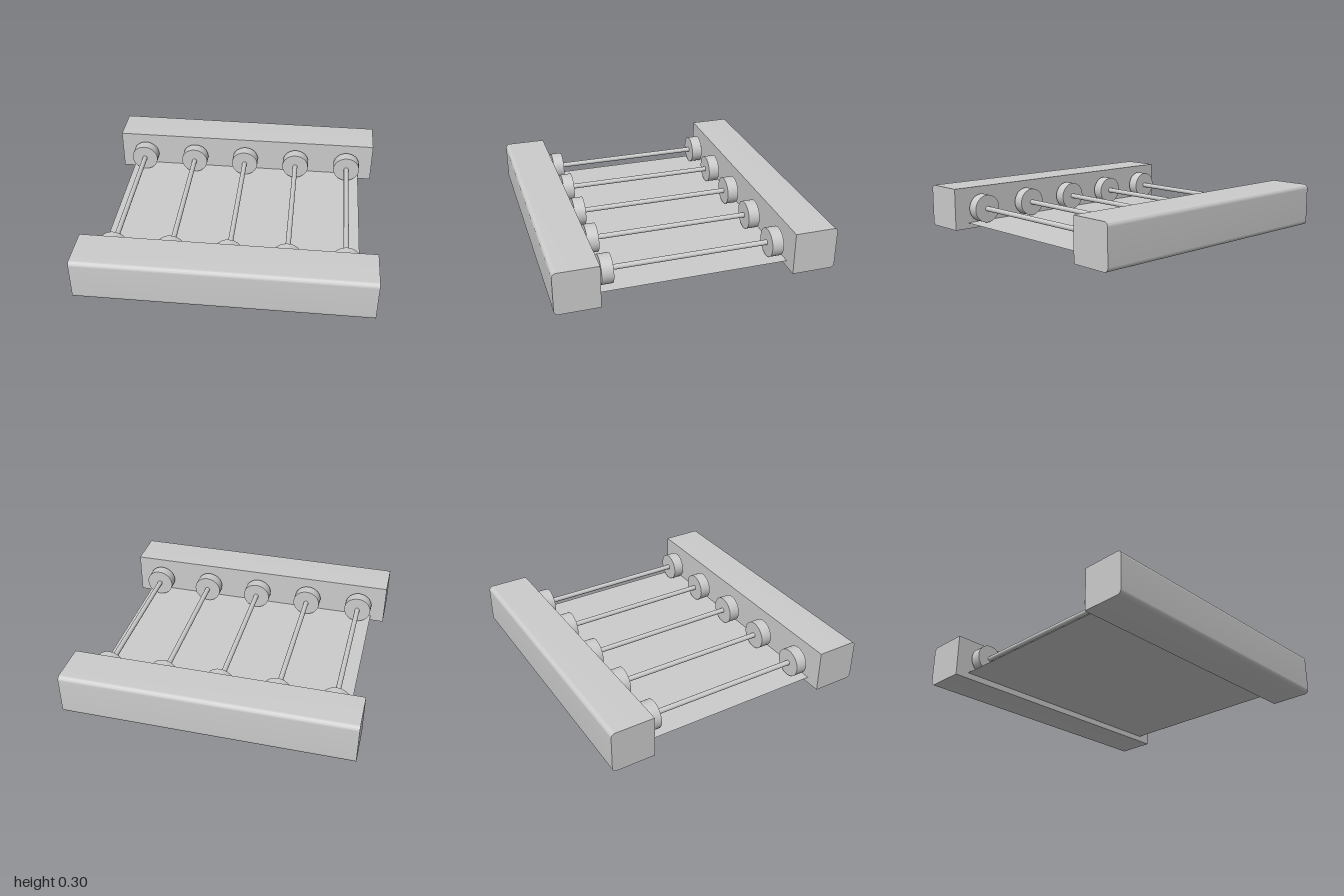
import * as THREE from 'three';
import { toCreasedNormals } from 'three/addons/utils/BufferGeometryUtils.js';

const grey = new THREE.MeshStandardMaterial({ color: 0xcccccc });
const greyThin = new THREE.MeshStandardMaterial({ color: 0xcccccc, side: THREE.DoubleSide });

const LENGTH = 2, HEIGHT = 0.3, INNER = 0.65, OUTER = 0.95, ROUND = 0.03;
const AXLE_Y = 0.15, COUNT = 5, SPACING = 0.4;

function addMesh(parent, name, geometry, material = grey) {
  const mesh = new THREE.Mesh(geometry, material);
  mesh.name = name;
  parent.add(mesh);
  return mesh;
}

// Side rail: square inner edges, rounded outer edges, extruded along x
function railGeometry() {
  const w = OUTER - INNER;
  const s = new THREE.Shape();
  s.moveTo(0, 0);
  s.lineTo(0, HEIGHT);
  s.lineTo(-w + ROUND, HEIGHT);
  s.absarc(-w + ROUND, HEIGHT - ROUND, ROUND, Math.PI / 2, Math.PI, false);
  s.lineTo(-w, ROUND);
  s.absarc(-w + ROUND, ROUND, ROUND, Math.PI, Math.PI * 1.5, false);
  s.closePath();
  const geo = new THREE.ExtrudeGeometry(s, { depth: LENGTH, bevelEnabled: false, curveSegments: 8 });
  geo.translate(0, 0, -LENGTH / 2);
  geo.rotateY(Math.PI / 2);
  return toCreasedNormals(geo, 0.6);
}

export function createModel() {
  const model = new THREE.Group();
  model.name = 'rollerTrack';

  // Front and back rails, rounded side outwards
  const railGeo = railGeometry();
  const front = addMesh(model, 'frontRail', railGeo);
  front.position.z = INNER;
  const back = addMesh(model, 'backRail', railGeo);
  back.rotation.y = Math.PI;
  back.position.z = -INNER;

  // Thin floor sheet between the rails
  const floor = addMesh(model, 'floorSheet', new THREE.PlaneGeometry(1.8, INNER * 2), greyThin);
  floor.rotation.x = -Math.PI / 2;
  floor.position.y = 0.043;

  // Row of axles, each with a wheel near both ends
  const axleGeo = new THREE.CylinderGeometry(0.018, 0.018, INNER * 2 + 0.02, 24).rotateX(Math.PI / 2);
  const wheelGeo = new THREE.CylinderGeometry(0.1, 0.1, 0.08, 32).rotateX(Math.PI / 2);
  for (let i = 0; i < COUNT; i++) {
    const roller = new THREE.Group();
    roller.name = `roller${i + 1}`;
    roller.position.set((i - (COUNT - 1) / 2) * SPACING, AXLE_Y, 0);
    addMesh(roller, 'axle', axleGeo);
    addMesh(roller, 'frontWheel', wheelGeo).position.z = 0.58;
    addMesh(roller, 'backWheel', wheelGeo).position.z = -0.58;
    model.add(roller);
  }
  return model;
}
